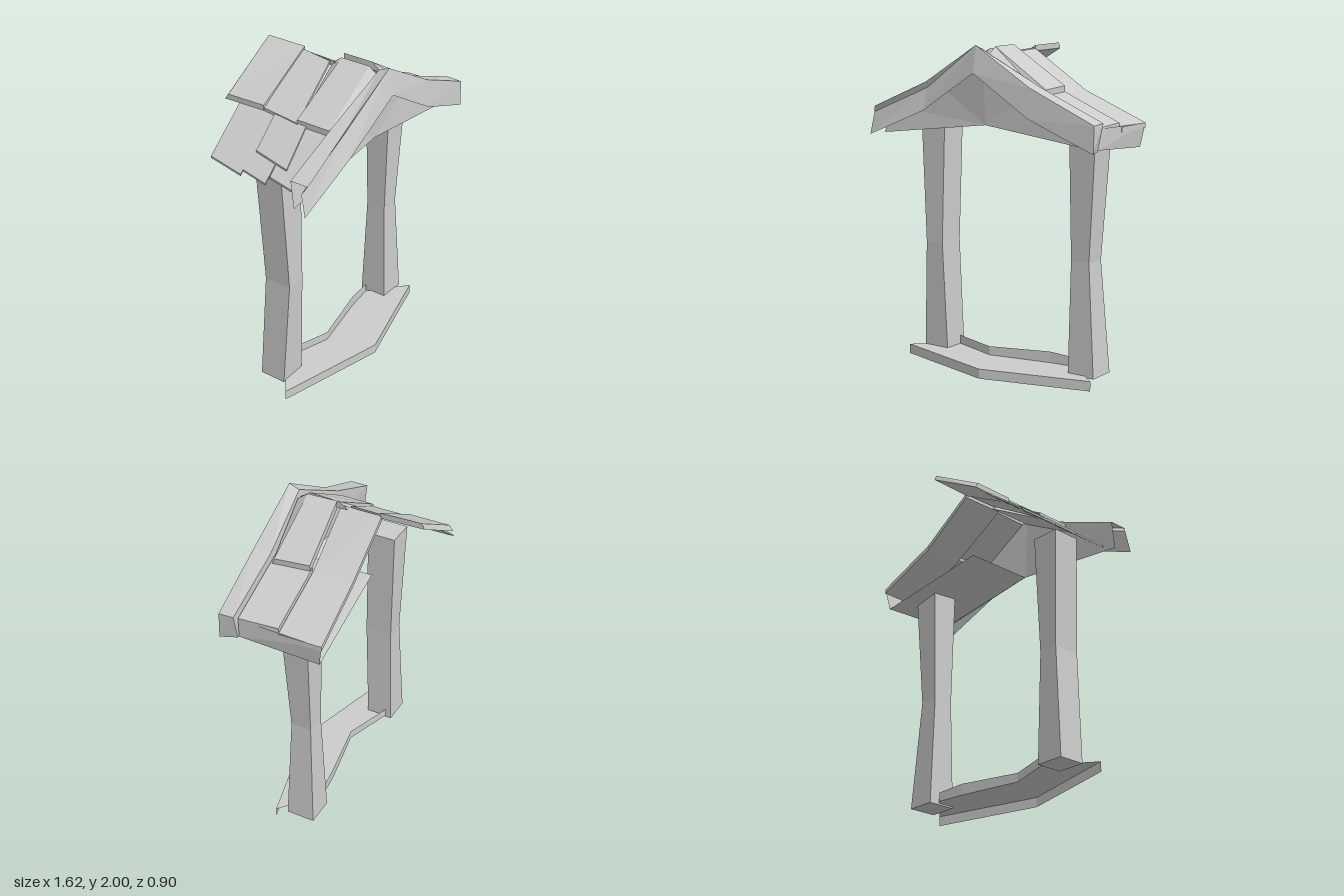
import * as THREE from 'three';

const material = new THREE.MeshStandardMaterial({ color: 0xcccccc, flatShading: true, side: THREE.DoubleSide });

// Mesh from a list of polygons (each a fan of [x, y, z] corners)
function polyMesh(name, polygons) {
  const pos = [];
  for (const p of polygons)
    for (let i = 1; i < p.length - 1; i++) pos.push(...p[0], ...p[i], ...p[i + 1]);
  const geo = new THREE.BufferGeometry();
  geo.setAttribute('position', new THREE.Float32BufferAttribute(pos, 3));
  geo.computeVertexNormals();
  const mesh = new THREE.Mesh(geo, material);
  mesh.name = name;
  return mesh;
}

// Closed solid through matching rings, counter-clockwise seen from the last ring's end
function loft(name, rings) {
  const polys = [[...rings[0]].reverse(), rings[rings.length - 1]];
  for (let s = 0; s < rings.length - 1; s++) {
    const a = rings[s], b = rings[s + 1], n = a.length;
    for (let i = 0; i < n; i++) polys.push([a[i], a[(i + 1) % n], b[(i + 1) % n], b[i]]);
  }
  return polyMesh(name, polys);
}

// Quads between two lines of points
const strip = (low, high) =>
  low.slice(1).map((_, i) => [low[i], low[i + 1], high[i + 1], high[i]]);

// Post level: y, x range, z range
const level = (y, x0, x1, z0, z1) => [[x0, y, z0], [x0, y, z1], [x1, y, z1], [x1, y, z0]];

// Roof height across the two broken slopes
function roofY(x) {
  const knots = [[-0.7, 1.485], [-0.4, 1.725], [0, 1.96], [0.38, 1.715], [0.77, 1.555]];
  let i = 0;
  while (i < 3 && x > knots[i + 1][0]) i++;
  const [[x0, y0], [x1, y1]] = [knots[i], knots[i + 1]];
  return y0 + ((x - x0) / (x1 - x0)) * (y1 - y0);
}

// Tile lying on the roof; each edge is back x, back z, front x, front z, front lean, back lean
function tile(name, lift, thickness, ...edges) {
  return loft(name, edges.map(([xb, zb, xf, zf, leanFront = 0, leanBack = 0]) => {
    const yb = roofY(xb) + lift, yf = roofY(xf) + lift;
    return [
      [xb, yb, zb], [xf, yf, zf],
      [xf, yf - thickness, zf + leanFront], [xb, yb - thickness, zb + leanBack],
    ];
  }));
}

export function createModel() {
  const model = new THREE.Group();
  model.name = 'shelter';

  // Posts, narrowed at the waist
  model.add(
    loft('rightPost', [
      level(0.05, -0.64, -0.46, -0.04, 0.13),
      level(0.74, -0.6, -0.475, -0.02, 0.155),
      level(1.48, -0.64, -0.46, -0.04, 0.14),
    ]),
    loft('leftPost', [
      level(0.05, 0.455, 0.635, -0.05, 0.13),
      level(0.74, 0.46, 0.585, -0.02, 0.11),
      level(1.48, 0.455, 0.635, -0.04, 0.13),
    ]),
  );

  // Floor sheet with a bent front strip and a raised sill at its back
  const front = [[-0.715, 0.2], [-0.02, 0.38], [0.66, 0.2]];
  const sill = [[-0.46, 0, 0.115], [-0.15, 0.1, 0.115], [0.25, 0.02, 0.13], [0.43, 0, 0.115]];
  const at = (y) => ([x, z]) => [x, y, z];
  const f = front.map(at(0.06)), s = sill.map(at(0.06));
  model.add(
    polyMesh('floor', [
      [s[0], f[0], f[1], s[1]],
      [s[1], f[1], s[2]],
      [s[2], f[1], f[2], s[3]],
    ]),
    polyMesh('floorFrontStrip', strip(front.map(at(0)), f)),
    polyMesh('sill', strip(s, sill.map(([x, z, y]) => [x, y, z]))),
  );

  // Gable: top sheet, undercut lip on the right slope, front strip, end and panel behind
  const back = [[-0.775, 1.605, 0.31], [-0.39, 1.77, 0.315], [0, 1.975, 0.355], [0.39, 1.77, 0.325], [0.81, 1.595, 0.325]];
  const top = [[-0.775, 1.605, 0.425], [-0.39, 1.77, 0.4], [0, 2, 0.42], [0.39, 1.775, 0.435], [0.81, 1.59, 0.42]];
  const lip = [[-0.8, 1.565, 0.4], [-0.39, 1.735, 0.385], ...top.slice(2)];
  const brow = [[-0.81, 1.43, 0.43], [-0.39, 1.6, 0.43], [0, 1.84, 0.45], [0.39, 1.6, 0.45], [0.81, 1.43, 0.425]];
  const endBottom = [0.775, 1.435, 0.325];
  model.add(
    polyMesh('gableTop', strip(top, back)),
    polyMesh('gableLip', strip(lip.slice(0, 3), top.slice(0, 3))),
    polyMesh('gableFrontStrip', strip(brow, lip)),
    polyMesh('gableEnd', [[brow[4], endBottom, back[4], top[4]]]),
    polyMesh('gablePanel', [[[0, 1.53, 0.33], endBottom, ...[...back].reverse(), [-0.775, 1.435, 0.33]]]),
  );

  // Left slope tiles
  model.add(
    tile('leftUpperFrontTile', 0.05, 0.05, [0.03, 0.09, 0.035, 0.28, 0.065], [0.385, 0.075, 0.405, 0.295, 0.02]),
    tile('leftUpperBackTile', -0.01, 0.03, [0, -0.18, -0.015, 0.085], [0.365, -0.185, 0.385, 0.065]),
    tile('leftLowerFrontTile', 0.01, 0.03, [0.36, 0.07, 0.36, 0.32], [0.755, 0.07, 0.77, 0.32]),
    tile('leftLowerBackTile', -0.01, 0.03, [0.36, -0.185, 0.36, 0.065], [0.765, -0.205, 0.77, 0.065]),
  );

  // Right slope tiles
  model.add(
    tile('rightUpperBackTile', 0.015, 0.035, [-0.39, -0.43, -0.385, -0.175, 0, -0.025], [0, -0.43, 0.005, -0.17, 0, -0.015]),
    tile('rightUpperMiddleTile', 0, 0.02, [-0.385, -0.17, -0.405, 0.08], [-0.005, -0.18, -0.025, 0.03]),
    tile('rightUpperFrontTile', 0.015, 0.045, [-0.4, 0.075, -0.4, 0.295, 0.02], [0.005, 0.09, 0, 0.285, 0.065, -0.06]),
    tile('rightLowerBackTile', -0.015, 0.012, [-0.67, -0.34, -0.7, -0.1], [-0.37, -0.35, -0.37, -0.13]),
    tile('rightLowerMiddleTile', -0.015, 0.012, [-0.675, -0.11, -0.7, 0.075], [-0.37, -0.14, -0.37, 0.06]),
    tile('rightLowerFrontTile', -0.015, 0.012, [-0.665, 0.08, -0.695, 0.31], [-0.37, 0.06, -0.37, 0.29]),
    tile('rightPatchTile', -0.005, 0.012, [-0.58, -0.08, -0.615, 0.16], [-0.39, -0.09, -0.39, 0.135]),
  );

  // Sloping ceiling and eave wall beneath the left slope
  const eaveFront = [0.77, 1.44, 0.32], eaveBack = [0.745, 1.405, -0.18];
  model.add(
    polyMesh('ceiling', [[eaveFront, [0, 1.53, 0.33], [0, 1.53, -0.12], eaveBack]]),
    polyMesh('eaveWall', [[eaveFront, eaveBack, [0.765, 1.545, -0.205], [0.77, 1.56, 0.32]]]),
  );
  return model;
}
